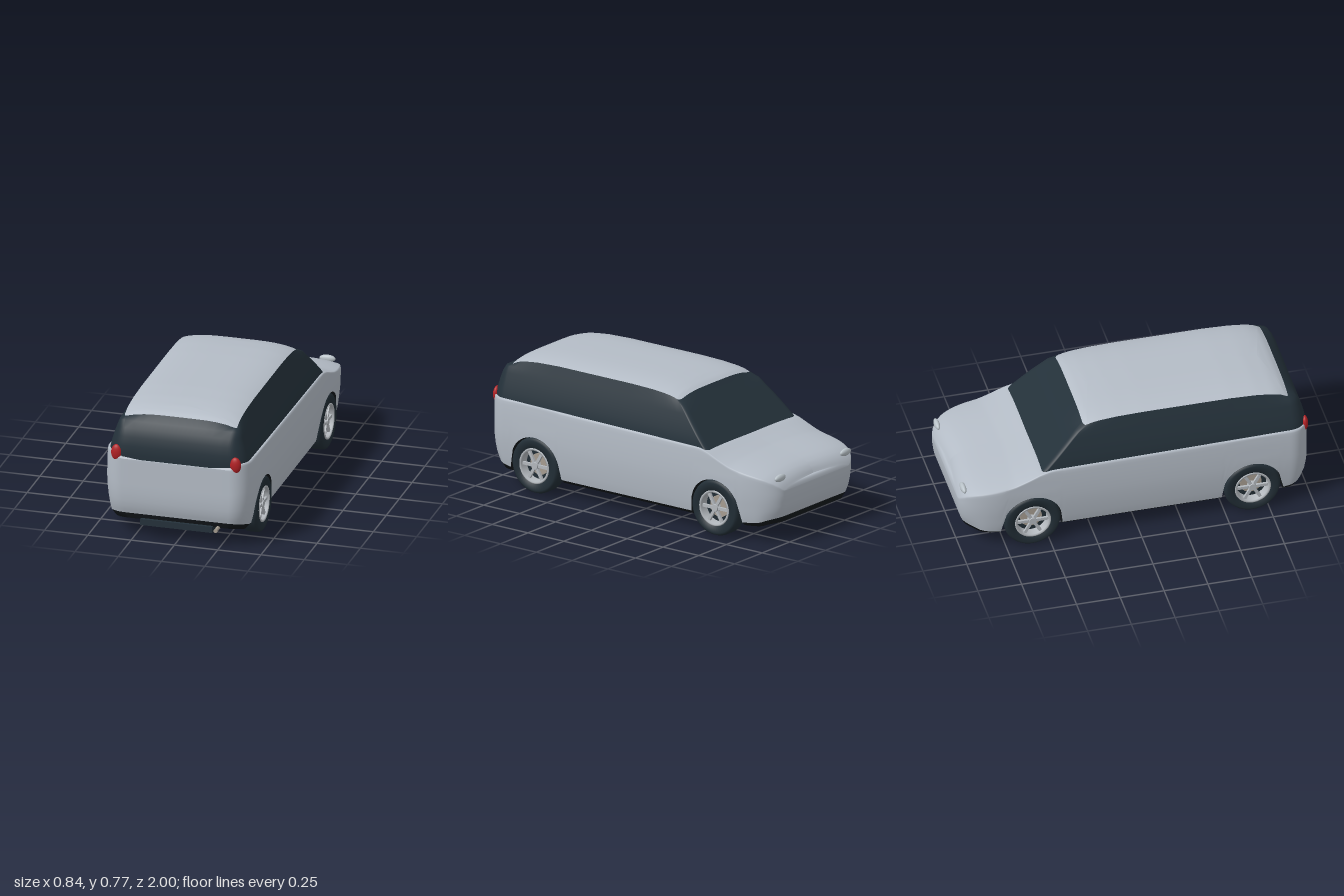
import * as THREE from 'three';

const mat = (name, color, extra = {}) => Object.assign(new THREE.MeshStandardMaterial({ color, ...extra }), { name });

// Linear lookup in a short table of [input, output] pairs
function table(pts, v) {
  if (v <= pts[0][0]) return pts[0][1];
  for (let i = 1; i < pts.length; i++) {
    const [a, p] = pts[i - 1], [b, q] = pts[i];
    if (v <= b) return p + (q - p) * (v - a) / (b - a);
  }
  return pts[pts.length - 1][1];
}

// Rounded plan outline as [x, z] points, counter-clockwise seen from above
function outline(hw, zTail, zNose, rTail, rNoseX, rNoseZ, n) {
  const half = [];
  for (let i = 0; i < 6; i++) half.push([(hw - rTail) * i / 6, zTail]);
  for (let i = 0; i <= 10; i++) {
    const a = i / 10 * Math.PI / 2;
    half.push([hw - rTail + rTail * Math.sin(a), zTail - rTail + rTail * Math.cos(a)]);
  }
  for (let i = 1; i < n; i++) half.push([hw, THREE.MathUtils.lerp(zTail - rTail, zNose + rNoseZ, i / n)]);
  for (let i = 0; i <= 14; i++) {
    const a = i / 14 * Math.PI / 2;
    half.push([hw - rNoseX + rNoseX * Math.cos(a), zNose + rNoseZ - rNoseZ * Math.sin(a)]);
  }
  for (let i = 5; i >= 0; i--) half.push([(hw - rNoseX) * i / 6, zNose]);
  const other = half.slice(1, -1).reverse().map(([x, z]) => [-x, z]);
  return [...half, ...other];
}

// Skin over stacked closed rings of [x, y, z], ordered from bottom to top
function loft(rings) {
  const n = rings[0].length, index = [];
  for (let r = 0; r < rings.length - 1; r++) {
    for (let i = 0; i < n; i++) {
      const a = r * n + i, b = r * n + (i + 1) % n;
      index.push(a, b, b + n, a, b + n, a + n);
    }
  }
  const g = new THREE.BufferGeometry();
  g.setAttribute('position', new THREE.Float32BufferAttribute(rings.flat(2), 3));
  g.setIndex(index);
  g.computeVertexNormals();
  return g;
}

const WHEEL_Z = [0.655, -0.6], WHEEL_Y = 0.16, ARCH = 0.166;

// Height curves along the length
const hoodLine = [[-1, 0.335], [-0.985, 0.36], [-0.96, 0.383], [-0.92, 0.402], [-0.86, 0.416], [-0.78, 0.43],
  [-0.7, 0.443], [-0.62, 0.463], [-0.56, 0.48], [-0.5, 0.49], [0.6, 0.505], [0.95, 0.51], [0.972, 0.503], [0.985, 0.475]];
const roofLine = [[-0.29, 0.73], [-0.26, 0.743], [-0.2, 0.754], [-0.1, 0.762], [0.05, 0.766], [0.55, 0.766],
  [0.7, 0.76], [0.8, 0.748], [0.85, 0.733], [0.88, 0.716]];
const floorLine = [[-1, 0.115], [-0.9, 0.094], [-0.78, 0.085], [0.78, 0.085], [0.9, 0.094], [0.985, 0.11]];
const sillLine = [[-1, 0.15], [-0.9, 0.12], [-0.78, 0.107], [0.78, 0.107], [0.9, 0.128], [0.985, 0.145]];
const sideBulge = [[0.085, 0.91], [0.11, 0.935], [0.15, 0.955], [0.2, 0.972], [0.27, 0.992], [0.35, 1], [0.45, 0.995], [0.51, 0.985]];
const endBulge = [[0.085, 0.95], [0.15, 0.975], [0.2, 0.992], [0.27, 1]];

const hoodY = z => table(hoodLine, z);
const crown = z => 0.028 * THREE.MathUtils.smoothstep(-z, 0.45, 0.75);
function sillY(z) {
  let y = table(sillLine, z);
  for (const wz of WHEEL_Z) {
    const d = Math.abs(z - wz);
    if (d < ARCH) y = Math.max(y, WHEEL_Y + Math.sqrt(ARCH * ARCH - d * d));
  }
  return y;
}
function bulge(x, y, z) {
  const k = (1 - table(endBulge, y)) * THREE.MathUtils.smoothstep(Math.abs(z), 0.84, 0.98);
  return [x * table(sideBulge, y), y, z * (1 - k)];
}

// Lower shell with wheel arches, bonnet and black floor
function buildShell(car, m) {
  const plan = outline(0.421, 0.985, -1, 0.11, 0.14, 0.25, 120);
  const ring = f => plan.map(([x, z]) => f(x, z));
  const sides = [0, 0.06, 0.14, 0.25, 0.4, 0.55, 0.7, 0.82, 0.92, 0.97].map(t =>
    ring((x, z) => bulge(x, THREE.MathUtils.lerp(sillY(z), hoodY(z) - crown(z), t), z)));
  const cover = [0.995, 0.98, 0.95, 0.9, 0.8, 0.65, 0.45, 0.25, 0].map(s => ring((x, z) => {
    const y = hoodY(z) - crown(z) * s ** 4;
    return [x * s * table(sideBulge, y), y, z * (0.975 + 0.025 * s)];
  }));
  add(car, 'bodyShell', loft([...sides, ...cover]), m.paint);

  const floor = (s, f) => ring((x, z) => { const p = bulge(x, f(z), z); return [p[0] * s, p[1], p[2]]; });
  const flat = z => table(floorLine, z);
  add(car, 'underbody', loft([
    floor(0, flat), floor(0.4, flat), floor(0.74, flat),
    floor(0.74, z => (sillY(z) > table(sillLine, z) ? sillY(z) : flat(z))),
    floor(0.96, z => (sillY(z) > table(sillLine, z) ? sillY(z) : flat(z))),
    floor(1, sillY),
  ]), m.under);
}

// Glasshouse and roof panel
function buildCabin(car, m) {
  const roofY = (x, z) => table(roofLine, z) - 0.03 * Math.min(1, Math.abs(x) / 0.325) ** 4;
  const level = (hw, zt, zn, r) => outline(hw, zt, zn, r, 0.03, 0.02, 40);
  const top = level(0.325, 0.88, -0.29, 0.012);
  const bands = [
    [0.44, 0.408, 0.975, -0.58, 0.1], [0.5, 0.403, 0.978, -0.52, 0.1], [0.55, 0.391, 0.974, -0.47, 0.09],
    [0.6, 0.376, 0.962, -0.42, 0.08], [0.645, 0.36, 0.944, -0.374, 0.06], [0.68, 0.347, 0.92, -0.338, 0.04],
  ].map(([y, ...p]) => level(...p).map(([x, z]) => [x, y, z]));
  const edge = top.map(([x, z]) => [x, roofY(x, z), z]);
  add(car, 'windowBand', loft([...bands, edge]), m.glass);

  const roof = [1, 0.96, 0.9, 0.8, 0.65, 0.45, 0.2, 0].map(s => top.map(([x, z]) => {
    const px = x * s, pz = 0.3 + (z - 0.3) * (0.85 + 0.15 * s);
    return [px, roofY(px, pz), pz];
  }));
  add(car, 'roofPanel', loft(roof), m.paint);
}

// One wheel with its axle along y and its outer face up
function buildWheel(m) {
  const wheel = new THREE.Group();
  const lathe = pts => new THREE.LatheGeometry(pts.map(p => new THREE.Vector2(...p)), 48);
  add(wheel, 'tyre', lathe([[0.09, -0.048], [0.142, -0.048], [0.154, -0.042], [0.16, -0.028], [0.16, 0.028],
    [0.154, 0.042], [0.142, 0.048], [0.102, 0.046], [0.098, 0.02]]), m.tyre);
  add(wheel, 'rimRing', lathe([[0.104, 0.042], [0.102, 0.049], [0.096, 0.05], [0.089, 0.046], [0.086, 0]]), m.rim);
  add(wheel, 'wheelBack', new THREE.CylinderGeometry(0.1, 0.1, 0.02, 32), m.tyre, [0, -0.025, 0]);
  add(wheel, 'brakeDisc', new THREE.CylinderGeometry(0.062, 0.062, 0.012, 32), m.metal, [0, -0.006, 0]);
  add(wheel, 'hub', new THREE.CylinderGeometry(0.02, 0.026, 0.03, 20), m.rim, [0, 0.03, 0]);
  for (let i = 0; i < 6; i++) {
    const a = i / 6 * Math.PI * 2 + Math.PI / 6;
    const spoke = add(wheel, 'spoke', new THREE.BoxGeometry(0.08, 0.014, 0.017), m.rim,
      [0.052 * Math.cos(a), 0.032, -0.052 * Math.sin(a)]);
    spoke.rotation.y = a;
  }
  return wheel;
}

function add(parent, name, geometry, material, pos = [0, 0, 0]) {
  const mesh = new THREE.Mesh(geometry, material);
  mesh.name = name;
  mesh.position.set(...pos);
  parent.add(mesh);
  return mesh;
}

export function createModel() {
  const m = {
    paint: mat('silver paint', 0xb4bcc6, { side: THREE.DoubleSide }),
    glass: mat('dark glass', 0x24313a),
    under: mat('black underbody', 0x13181b, { side: THREE.DoubleSide }),
    tyre: mat('tyre rubber', 0x212d35),
    rim: mat('rim silver', 0xb3b8bd),
    metal: mat('bare metal', 0xa59c90),
    red: mat('tail light red', 0xb12024),
    lamp: mat('headlight lens', 0xb9c2c8),
  };
  const car = new THREE.Group();
  car.name = 'van';
  buildShell(car, m);
  buildCabin(car, m);

  // Wheels and lights, mirrored
  for (const s of [1, -1]) {
    for (const z of WHEEL_Z) {
      const wheel = buildWheel(m);
      wheel.name = 'wheel';
      wheel.rotation.z = -s * Math.PI / 2;
      wheel.position.set(s * 0.369, WHEEL_Y, z);
      car.add(wheel);
    }
    const ball = new THREE.SphereGeometry(1, 28, 18);
    add(car, 'tailLight', ball, m.red, [s * 0.343, 0.503, 0.967]).scale.set(0.032, 0.047, 0.02);
    add(car, 'headlight', ball, m.lamp, [s * 0.297, 0.378, -0.97]).scale.set(0.046, 0.021, 0.016);
  }

  // Underside details
  for (const z of WHEEL_Z) add(car, 'axle', new THREE.CylinderGeometry(0.02, 0.02, 0.66, 16), m.under, [0, WHEEL_Y, z]).rotation.z = Math.PI / 2;
  add(car, 'rearStep', new THREE.BoxGeometry(0.416, 0.036, 0.06), m.glass, [0, 0.1, 0.935]);
  add(car, 'floorPanel', new THREE.BoxGeometry(0.42, 0.01, 0.3), m.under, [0, 0.083, -0.14]);
  add(car, 'silencerPlate', new THREE.BoxGeometry(0.085, 0.01, 0.09), m.metal, [0.17, 0.083, 0.45]);
  add(car, 'exhaustPipe', new THREE.CylinderGeometry(0.011, 0.011, 0.22, 16), m.metal, [0.237, 0.11, 0.89]).rotation.x = Math.PI / 2;
  return car;
}
